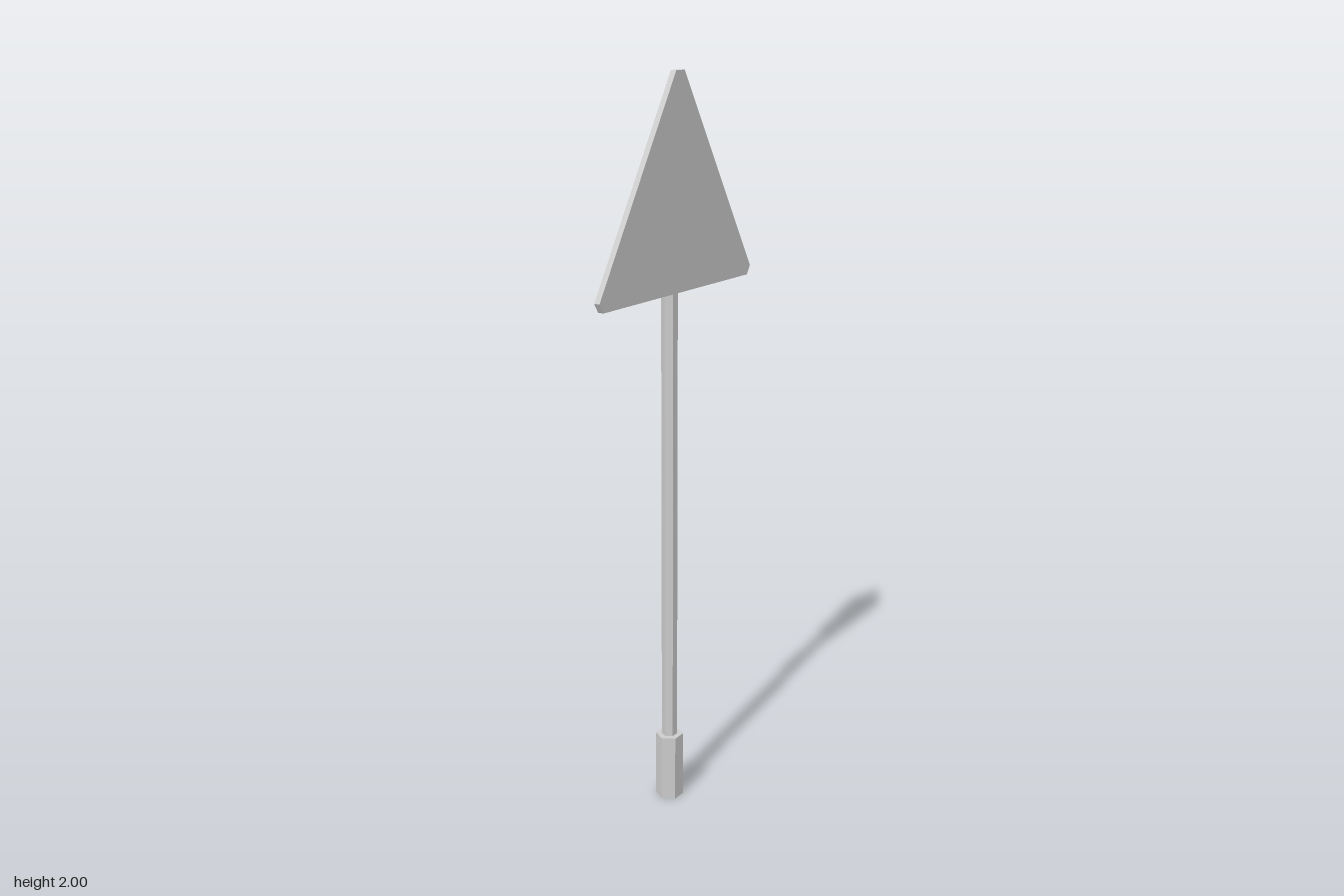
import * as THREE from 'three';

const material = new THREE.MeshStandardMaterial({ color: 0xcccccc, flatShading: true });

// Hexagonal prism with corners pointing along x
function hexPrism(name, radius, bottom, top) {
  const geometry = new THREE.CylinderGeometry(radius, radius, top - bottom, 6, 1, false, Math.PI / 6);
  geometry.translate(0, (bottom + top) / 2, 0);
  const mesh = new THREE.Mesh(geometry, material);
  mesh.name = name;
  return mesh;
}

// Closed outline mirrored across x = 0, listed along its +x side
function mirroredShape(half) {
  const points = [...half, ...half.map(([x, y]) => [-x, y]).reverse()];
  return new THREE.Shape(points.map(([x, y]) => new THREE.Vector2(x, y)));
}

// Bracket: a half-hex collar behind the pole with tapered wings on the plate
function bracket(name, bottom, top) {
  const shape = mirroredShape([[0.134, -0.017], [0.134, -0.005], [0.031, 0.002], [0.017, 0.026]]);
  const geometry = new THREE.ExtrudeGeometry(shape, { depth: top - bottom, bevelEnabled: false });
  geometry.rotateX(-Math.PI / 2);
  geometry.translate(0, bottom, 0);
  const mesh = new THREE.Mesh(geometry, material);
  mesh.name = name;
  return mesh;
}

// Triangular plate with clipped corners
function signPlate() {
  const shape = mirroredShape([[0.32, 1.452], [0.335, 1.476], [0.018, 2]]);
  const geometry = new THREE.ExtrudeGeometry(shape, { depth: 0.016, bevelEnabled: false });
  geometry.translate(0, 0, 0.017);
  const mesh = new THREE.Mesh(geometry, material);
  mesh.name = 'signPlate';
  return mesh;
}

export function createModel() {
  const group = new THREE.Group();
  group.name = 'roadSign';
  group.add(
    hexPrism('baseSleeve', 0.0385, 0, 0.19),
    hexPrism('pole', 0.0215, 0.01, 1.9),
    bracket('upperBracket', 1.732, 1.767),
    bracket('lowerBracket', 1.507, 1.56),
    signPlate()
  );
  return group;
}
